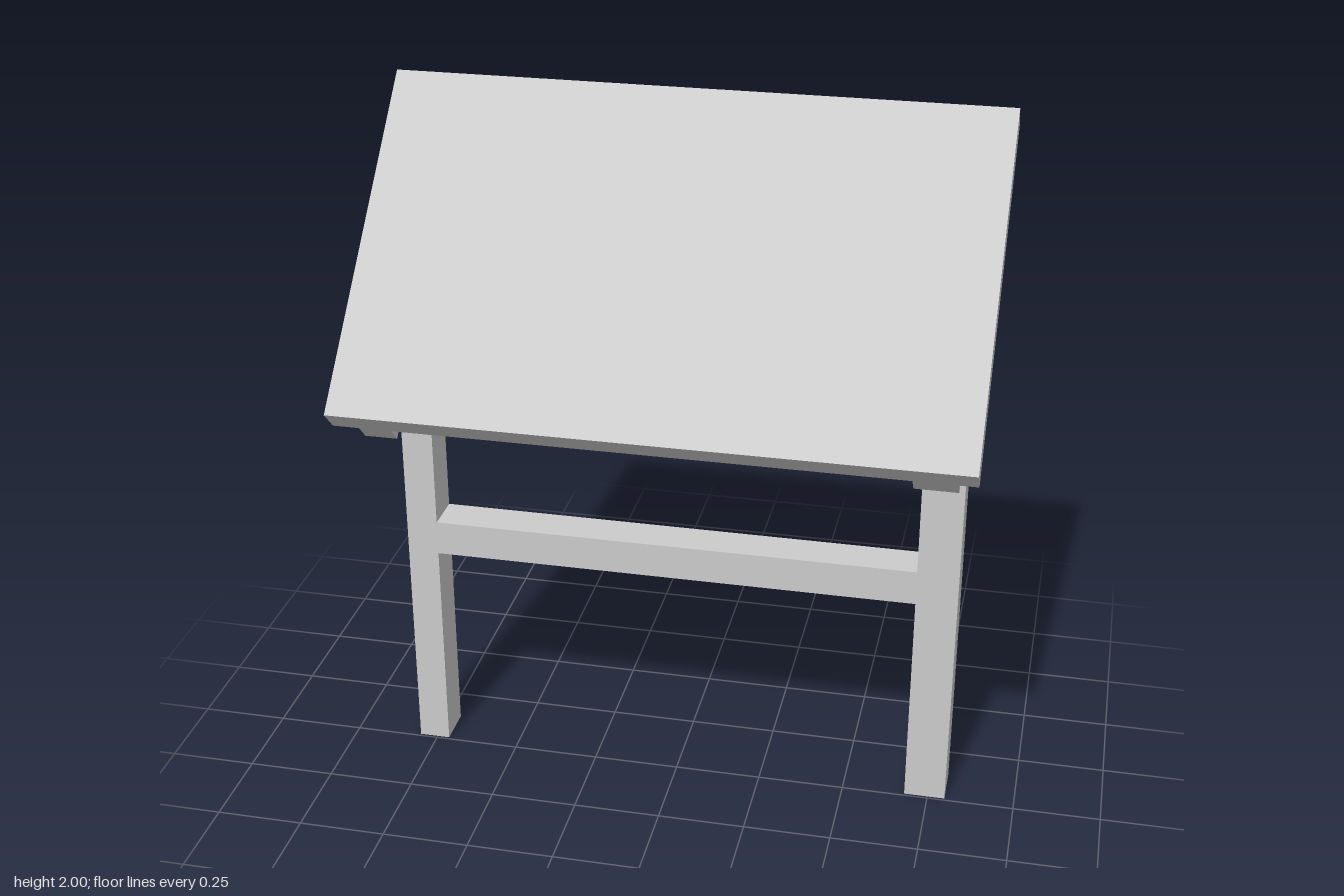
import * as THREE from 'three';

const material = new THREE.MeshStandardMaterial({ color: 0xcccccc, flatShading: true });

// Box given by its limits along each axis
function box(name, [x0, x1], [y0, y1], [z0, z1]) {
  const mesh = new THREE.Mesh(new THREE.BoxGeometry(x1 - x0, y1 - y0, z1 - z0), material);
  mesh.position.set((x0 + x1) / 2, (y0 + y1) / 2, (z0 + z1) / 2);
  mesh.name = name;
  return mesh;
}

export function createModel() {
  const model = new THREE.Group();
  model.name = 'slantedBoardStand';

  const sides = { right: [-0.804, -0.714], left: [0.682, 0.8] };
  const inner = [sides.right[1], sides.left[0]];
  const postZ = [-0.127, -0.008];

  // Tilted top: local y runs up the slope, local z points out of the board
  const top = new THREE.Group();
  top.name = 'tiltedTop';
  top.rotation.x = -Math.PI / 4;
  model.add(top);
  const railDepth = [1.004, 1.124];
  top.add(box('board', [-0.855, 0.855], [0.603, 1.626], [1.124, 1.204]));
  top.add(box('upperCrossbar', inner, [1.08, 1.184], railDepth));

  // Post profile, mitred to the underside of the rail
  const railUnder = railDepth[0] * Math.SQRT2;
  const profile = new THREE.Shape([
    new THREE.Vector2(postZ[0], 0),
    new THREE.Vector2(postZ[1], 0),
    new THREE.Vector2(postZ[1], railUnder - postZ[1]),
    new THREE.Vector2(postZ[0], railUnder - postZ[0]),
  ]);

  for (const [side, span] of Object.entries(sides)) {
    const post = new THREE.Mesh(
      new THREE.ExtrudeGeometry(profile, { depth: span[1] - span[0], bevelEnabled: false }),
      material
    );
    post.rotation.y = -Math.PI / 2;
    post.position.x = span[1];
    post.name = side + 'Post';
    model.add(post);

    top.add(box(side + 'Rail', span, [0.622, 1.605], railDepth));

    // Thin straps wrapped round the rail
    for (const s of [0.818, 1.42]) {
      top.add(box(side + 'Strap', [span[0] - 0.003, span[1] + 0.003],
        [s - 0.025, s + 0.025], [railDepth[0] - 0.003, railDepth[1]]));
    }
  }

  // Stretcher between the posts
  model.add(box('stretcher', inner, [0.645, 0.747], postZ));

  return model;
}
